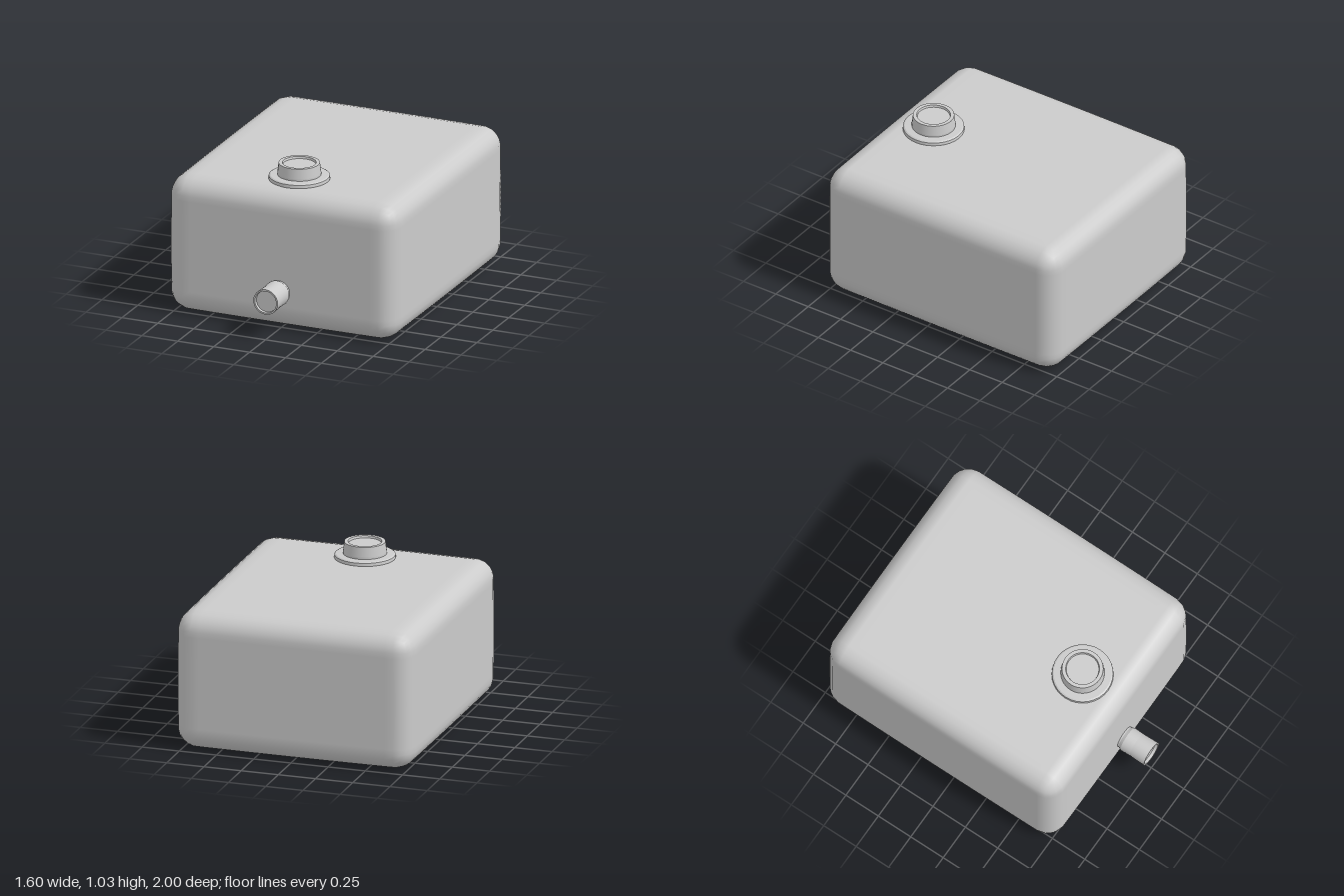
import * as THREE from 'three';

const material = new THREE.MeshStandardMaterial({ color: 0xcccccc, side: THREE.DoubleSide });

// Box with rounded edges and very slightly bulging walls
function softBox(w, h, d, r, bulge) {
  const geo = new THREE.BoxGeometry(w, h, d, 28, 24, 28);
  const half = new THREE.Vector3(w, h, d).multiplyScalar(0.5);
  const inner = half.clone().subScalar(r);
  const outer = inner.clone().negate();
  const { position, normal } = geo.attributes;
  const p = new THREE.Vector3(), core = new THREE.Vector3(), n = new THREE.Vector3();
  for (let i = 0; i < position.count; i++) {
    p.fromBufferAttribute(position, i);
    core.copy(p).clamp(outer, inner);
    n.copy(p).sub(core).normalize();
    p.copy(core).addScaledVector(n, r);
    const a = (p.x / half.x) ** 2, b = (p.y / half.y) ** 2, c = (p.z / half.z) ** 2;
    p.x *= 1 - bulge * (b + c) / 2;
    p.y *= 1 - bulge * (a + c) / 2;
    p.z *= 1 - bulge * (a + b) / 2;
    position.setXYZ(i, p.x, p.y, p.z);
    normal.setXYZ(i, n.x, n.y, n.z);
  }
  return geo;
}

// Turned part with crisp edges: every profile segment gets its own vertices
function turned(name, profile, sides = 32) {
  const group = new THREE.Group();
  group.name = name;
  for (let i = 0; i < profile.length - 1; i++) {
    const points = [profile[i], profile[i + 1]].map(([r, y]) => new THREE.Vector2(r, y));
    const band = new THREE.Mesh(new THREE.LatheGeometry(points, sides), material);
    band.name = name + 'Band' + (i + 1);
    group.add(band);
  }
  return group;
}

export function createModel() {
  const model = new THREE.Group();
  model.name = 'tank';

  // Tank body
  const body = new THREE.Mesh(softBox(1.6, 0.92, 1.79, 0.13, 0.008), material);
  body.name = 'tankBody';
  body.position.set(0, 0.46, -0.105);
  model.add(body);

  // Filler on top: flange and cap with a recessed lid
  const filler = new THREE.Group();
  filler.name = 'filler';
  filler.position.set(0, 0.9, 0.47);
  filler.add(
    turned('fillerFlange', [[0.19, 0], [0.197, 0.022], [0.195, 0.04], [0.185, 0.046], [0.13, 0.048]]),
    turned('fillerCap', [[0.14, 0.04], [0.14, 0.06], [0.132, 0.126], [0.108, 0.126], [0.104, 0.112], [0, 0.112]])
  );
  model.add(filler);

  // Outlet pipe on the front, narrowed at the wall and recessed at its mouth
  const outlet = turned('outletPipe', [
    [0.075, 0], [0.075, 0.03], [0.085, 0.05], [0.082, 0.12], [0.085, 0.23],
    [0.074, 0.23], [0.072, 0.21], [0, 0.21],
  ], 24);
  outlet.rotation.x = Math.PI / 2;
  outlet.position.set(0, 0.255, 0.77);
  model.add(outlet);

  return model;
}
